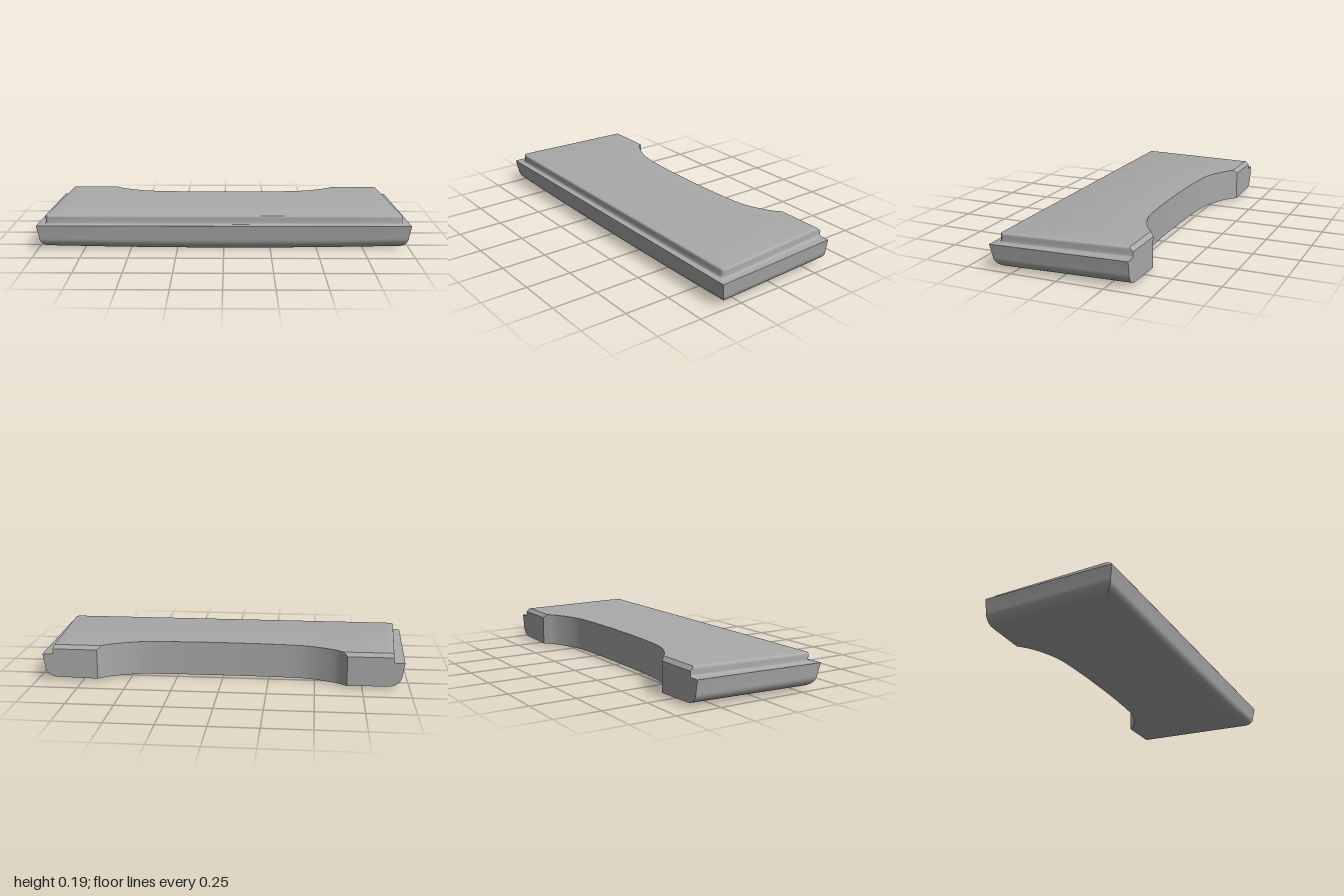
import * as THREE from 'three';
import { toCreasedNormals } from 'three/addons/utils/BufferGeometryUtils.js';

const BACK = -0.365;
const CORNER_STEPS = 5;

// Shallow scoop cut out of the back edge, from right to left end
const half = [[0.67, -0.365], [0.645, -0.342], [0.6, -0.306], [0.5, -0.259], [0.4, -0.236], [0.2, -0.223]];
const scoop = new THREE.SplineCurve([
  ...half.map(([x, z]) => new THREE.Vector2(-x, z)),
  new THREE.Vector2(0, -0.22),
  ...half.slice().reverse().map(([x, z]) => new THREE.Vector2(x, z)),
]).getPoints(48);

// Height with the slight rise to the back and the bowed underside
function heightAt(h, x, z) {
  const k = Math.min(1, h / 0.137);
  const bow = 0.011 * (x / 0.93) ** 2 + 0.005 * (0.3 - z) / 0.6;
  const tilt = 0.006 * (0.365 - z) / 0.73;
  return Math.max(0, h + bow * (1 - k) + tilt * k);
}

// One level: matching rows of front and back points, from -x to +x
function makeLevel({ h, frontW, backW, frontZ, r, backZ }) {
  const front = [], back = [];
  const cut = scoop.map((p) => {
    const shift = Math.max(0, backZ - p.y);
    return [p.x - Math.sign(p.x) * shift, p.y + shift];
  });
  const ends = [];
  for (let j = 0; j < CORNER_STEPS; j++) {
    const a = (j / CORNER_STEPS) * Math.PI / 2;
    ends.push({
      f: [-frontW + r - r * Math.cos(a), frontZ - r + r * Math.sin(a)],
      b: [THREE.MathUtils.lerp(-backW, cut[0][0], j / CORNER_STEPS), backZ],
    });
  }
  for (const e of ends) { front.push(e.f); back.push(e.b); }
  for (const [x, z] of cut) {
    front.push([x * frontW / backW, frontZ]);
    back.push([x, z]);
  }
  for (const e of ends.reverse()) {
    front.push([-e.f[0], e.f[1]]);
    back.push([-e.b[0], e.b[1]]);
  }
  const lift = ([x, z]) => new THREE.Vector3(x, heightAt(h, x, z), z);
  return { front: front.map(lift), back: back.map(lift) };
}

function makeLevels() {
  const levels = [];
  const body = (d, h) => levels.push(makeLevel({
    h, frontW: 1 - d, backW: 0.97 - d, frontZ: 0.367 - d, r: 0, backZ: BACK,
  }));
  const step = (u, h) => levels.push(makeLevel({
    h, frontW: 0.957 - u, backW: 0.912 - u, frontZ: 0.335 - u, r: 0.026 - u,
    backZ: BACK + Math.max(0, h - 0.166),
  }));
  // Rounded lower edge and leaning rim
  for (let i = 0; i <= 8; i++) {
    const a = (i / 8) * Math.PI / 2;
    body(0.011 + 0.064 * (1 - Math.sin(a)), 0.067 * (1 - Math.cos(a)));
  }
  body(0, 0.137);
  // Fillet at the foot of the raised step
  for (let i = 0; i <= 4; i++) {
    const a = (i / 4) * Math.PI / 2;
    step(-0.011 * (1 - Math.sin(a)), 0.137 + 0.011 * (1 - Math.cos(a)));
  }
  step(0, 0.166);
  // Rounded upper edge of the step
  for (let i = 0; i <= 4; i++) {
    const a = (i / 4) * Math.PI / 2;
    step(0.009 * (1 - Math.cos(a)), 0.177 + 0.009 * Math.sin(a));
  }
  return levels;
}

function makeSlab() {
  const levels = makeLevels();
  const pos = [];
  const area = new THREE.Triangle();
  const tri = (a, b, c) => {
    if (area.set(a, b, c).getArea() < 1e-9) return;
    for (const p of [a, b, c]) pos.push(p.x, p.y, p.z);
  };
  const quad = (a, b, c, d) => { tri(a, b, c); tri(a, c, d); };

  // Walls
  const loops = levels.map((l) => [...l.front, ...l.back.slice().reverse()]);
  for (let k = 0; k < loops.length - 1; k++) {
    const lo = loops[k], up = loops[k + 1], n = lo.length;
    for (let i = 0; i < n; i++) {
      const j = (i + 1) % n;
      quad(lo[i], lo[j], up[j], up[i]);
    }
  }
  // Underside and top
  const bottom = levels[0], top = levels[levels.length - 1];
  for (let i = 0; i < top.front.length - 1; i++) {
    quad(top.front[i], top.front[i + 1], top.back[i + 1], top.back[i]);
    quad(bottom.back[i], bottom.back[i + 1], bottom.front[i + 1], bottom.front[i]);
  }
  const geometry = new THREE.BufferGeometry();
  geometry.setAttribute('position', new THREE.Float32BufferAttribute(pos, 3));
  return toCreasedNormals(geometry, 0.5);
}

export function createModel() {
  const group = new THREE.Group();
  group.name = 'steppedPanel';
  const grey = new THREE.MeshStandardMaterial({ color: 0xaaaaaa });
  grey.name = 'grey';
  const slab = new THREE.Mesh(makeSlab(), grey);
  slab.name = 'slab';
  group.add(slab);
  return group;
}
